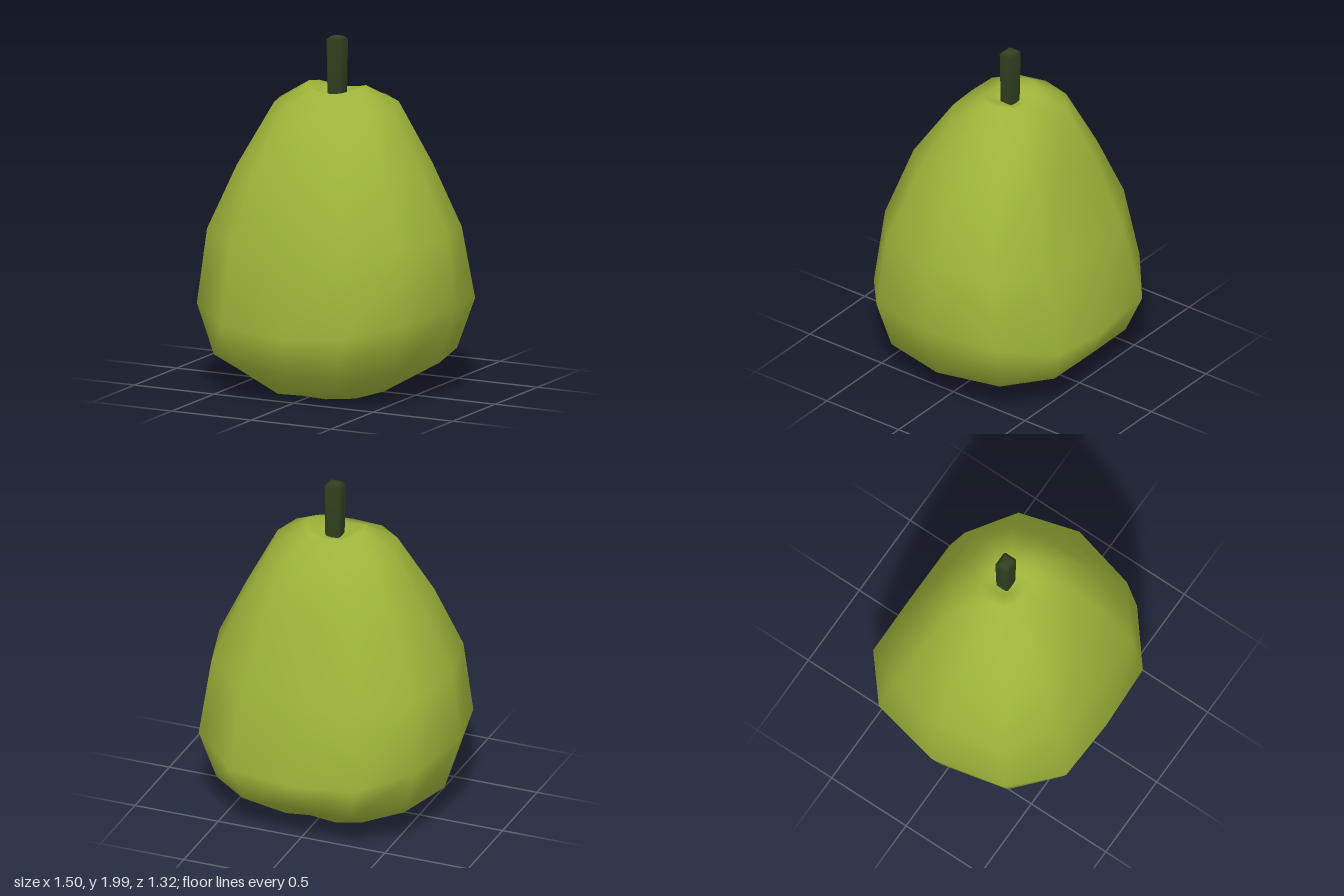
import * as THREE from 'three';

// Skins closed rings of points, stacked bottom to top, with a pole at each end.
function loft(rings, bottom, top) {
  const n = rings[0].length;
  const pos = [...rings.flat(2), ...bottom, ...top];
  const b = rings.length * n, t = b + 1, last = b - n;
  const index = [];
  for (let i = 0; i < n; i++) {
    const j = (i + 1) % n;
    index.push(b, i, j, t, last + j, last + i);
    for (let r = 0; r < last; r += n) {
      index.push(r + i, r + n + i, r + j, r + j, r + n + i, r + n + j);
    }
  }
  const g = new THREE.BufferGeometry();
  g.setAttribute('position', new THREE.Float32BufferAttribute(pos, 3));
  g.setIndex(index);
  g.computeVertexNormals();
  return g;
}

// Twelve-sided ring, squared off towards front and back; its height also varies around.
function bodyRing([sideX, sideY, frontZ, frontY, backZ, backY]) {
  const depth = [0, 0.64, 0.985, 1, 0.985, 0.64];
  return Array.from({ length: 12 }, (_, i) => {
    const a = (i / 12) * Math.PI * 2;
    const isFront = i < 6;
    const s = Math.sin(a) ** 2;
    const y = THREE.MathUtils.lerp(sideY, isFront ? frontY : backY, s);
    return [Math.cos(a) * sideX, y, depth[i % 6] * (isFront ? frontZ : -backZ)];
  });
}

// Square ring with cut corners.
function stemRing([half, y]) {
  const c = half * 0.8;
  return [[half, c], [c, half], [-c, half], [-half, c], [-half, -c], [-c, -half], [c, -half], [half, -c]]
    .map(([x, z]) => [x, y, z * 0.85 - 0.015]);
}

export function createModel() {
  const group = new THREE.Group();

  // Fruit body: side x, y, front z, y, back z, y for each ring
  const bodyRings = [
    [0.10, 0.03, 0.10, 0.03, 0.10, 0.04],
    [0.30, 0.01, 0.41, 0.035, 0.37, 0.085],
    [0.65, 0.21, 0.60, 0.20, 0.58, 0.23],
    [0.75, 0.53, 0.66, 0.40, 0.66, 0.40],
    [0.70, 0.93, 0.60, 0.88, 0.54, 0.86],
    [0.54, 1.26, 0.46, 1.32, 0.41, 1.32],
    [0.35, 1.62, 0.25, 1.64, 0.27, 1.64],
    [0.17, 1.73, 0.11, 1.69, 0.12, 1.69],
    [0.08, 1.69, 0.05, 1.67, 0.07, 1.67],
  ].map(bodyRing);
  const body = new THREE.Mesh(
    loft(bodyRings, [0, 0.06, 0], [0, 1.66, 0]),
    new THREE.MeshStandardMaterial({ color: 0xa0b53a })
  );
  body.name = 'fruitBody';

  // Stem: half width and height for each ring
  const stemRings = [[0.045, 1.65], [0.05, 1.98], [0.03, 1.995]].map(stemRing);
  const stem = new THREE.Mesh(
    loft(stemRings, [0, 1.65, -0.015], [0, 2, -0.015]),
    new THREE.MeshStandardMaterial({ color: 0x30401f })
  );
  stem.name = 'stem';

  group.add(body, stem);
  return group;
}
